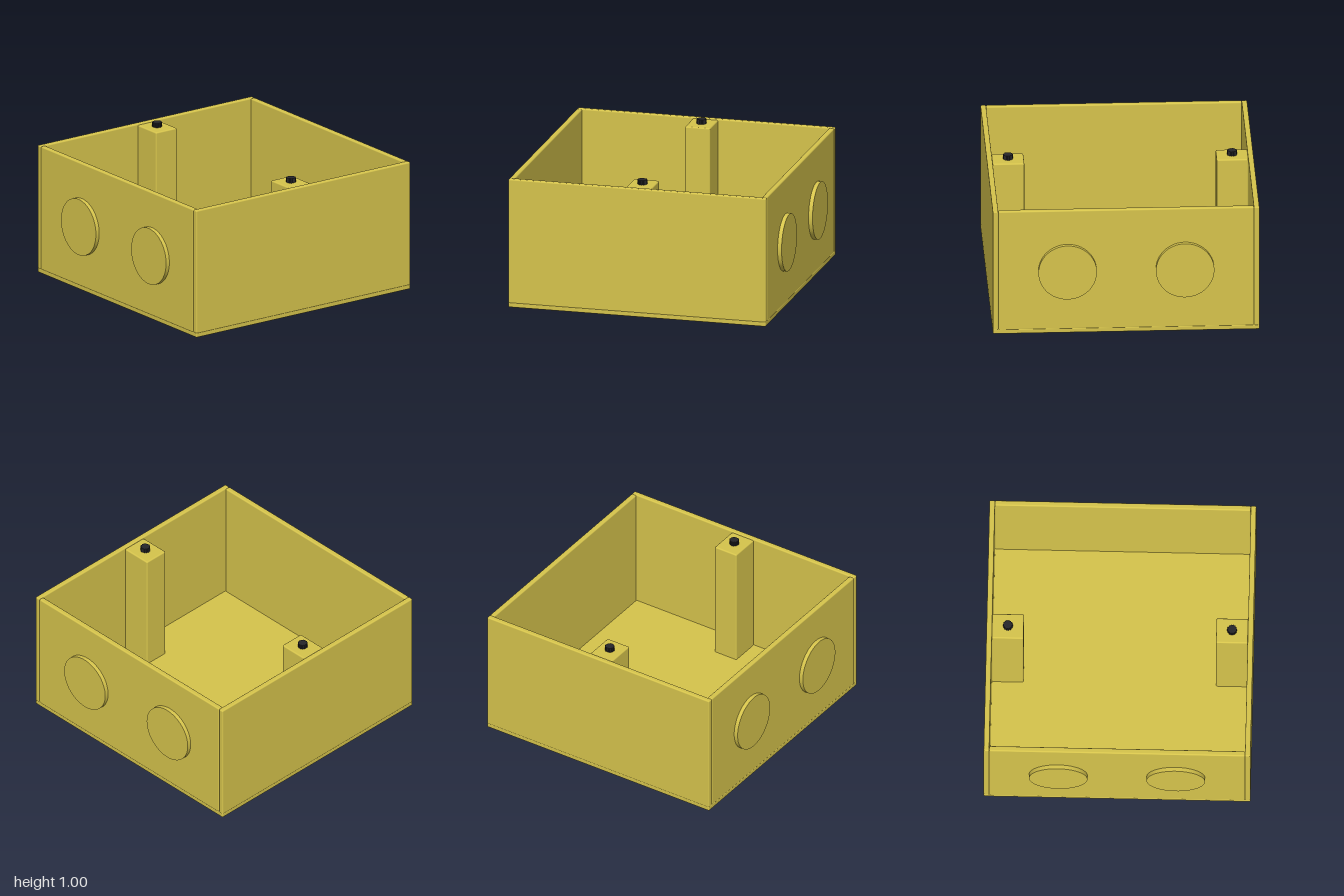
import * as THREE from 'three';
import { RoundedBoxGeometry } from 'three/addons/geometries/RoundedBoxGeometry.js';

const H = 0.97;   // half width, half depth and height of the box
const T = 0.04;   // wall thickness

export function createModel() {
  const group = new THREE.Group();
  const yellow = new THREE.MeshStandardMaterial({ name: 'yellow paint', color: 0xd6c44c });
  const black = new THREE.MeshStandardMaterial({ name: 'black screw', color: 0x26262a });

  const add = (name, geometry, material, x, y, z) => {
    const mesh = new THREE.Mesh(geometry, material);
    mesh.name = name;
    mesh.position.set(x, y, z);
    group.add(mesh);
    return mesh;
  };
  const slab = (w, h, d, r = 0.01) => new RoundedBoxGeometry(w, h, d, 3, r);

  // Floor plate
  add('floor', slab(2 * H, T, 2 * H), yellow, 0, T / 2, 0);

  // Knurled screw head outline
  const outline = new THREE.Shape();
  const teeth = 14;
  for (let i = 0; i < teeth * 2; i++) {
    const a = (i / (teeth * 2)) * Math.PI * 2;
    const r = i % 2 ? 0.031 : 0.036;
    if (i) outline.lineTo(Math.cos(a) * r, Math.sin(a) * r);
    else outline.moveTo(r, 0);
  }
  const screw = new THREE.ExtrudeGeometry(outline, { depth: 0.04, bevelEnabled: false });
  screw.rotateX(-Math.PI / 2);

  const disc = new THREE.CylinderGeometry(0.2125, 0.2125, 0.04, 64);
  disc.rotateX(Math.PI / 2);

  for (const s of [-1, 1]) {
    const side = s > 0 ? 'left' : 'right';
    const end = s > 0 ? 'front' : 'back';

    // Walls: the side walls run full depth, the end walls fit between them
    add(side + 'Wall', slab(T, H - T + 0.01, 2 * H), yellow, s * (H - T / 2), (H + T - 0.01) / 2, 0);
    add(end + 'Wall', slab(2 * (H - T), H - T + 0.01, T), yellow, 0, (H + T - 0.01) / 2, s * (H - T / 2));

    // Round knockouts on the end walls
    for (const x of [-0.4275, 0.4275]) add(end + 'Knockout', disc, yellow, x, 0.49, s * 0.98);

    // Mounting post against the side wall, with its screw
    add(side + 'Post', slab(0.23, 0.945, 0.19), yellow, s * 0.815, 0.4925, 0);
    add(side + 'Screw', screw, black, s * 0.815, 0.96, 0);
  }
  return group;
}
